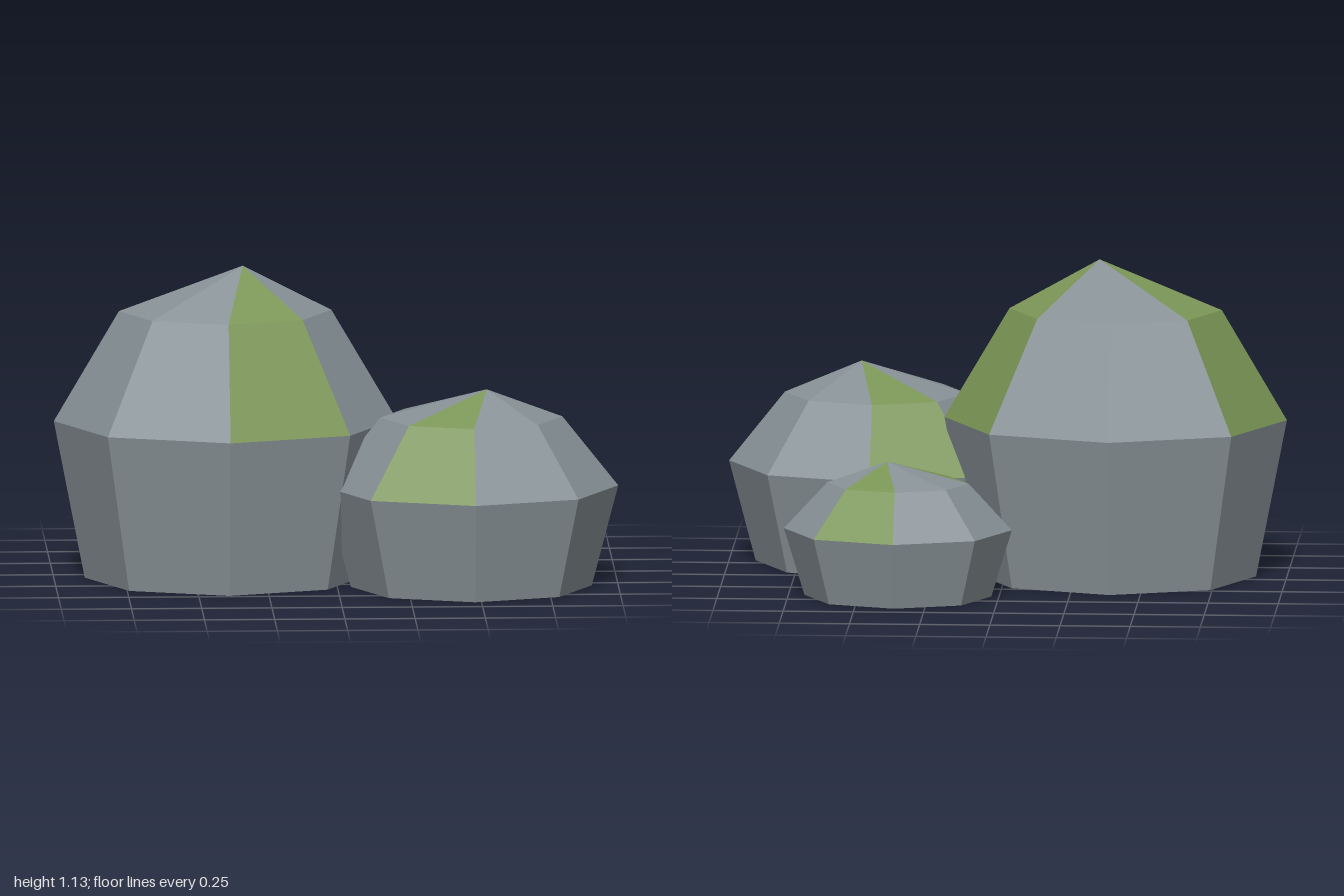
import * as THREE from 'three';

const SIDES = 8;

export function createModel() {
  const stone = new THREE.MeshStandardMaterial({ color: 0x879196 });
  stone.name = 'stone';
  const moss = new THREE.MeshStandardMaterial({ color: 0x7b9556 });
  moss.name = 'moss';

  // Faceted boulder: foot, widest ring, shoulder ring and an off-centre peak.
  // Every third sector above the widest ring is mossy.
  function boulder(name, { x, z, rx, rz, waist, shoulder, peak, mossStart }) {
    const ring = (scale, y) => Array.from({ length: SIDES + 1 }, (_, k) => {
      const a = (k % SIDES) / SIDES * Math.PI * 2;
      return [Math.cos(a) * rx * scale, y, Math.sin(a) * rz * scale];
    });
    const foot = ring(0.82, 0);
    const belly = ring(1, waist);
    const top = ring(0.62, shoulder);
    const apex = [peak[0] - x, peak[1], peak[2] - z];
    const stoneFaces = [];
    const mossFaces = [];
    const quad = (out, lo, hi, k) =>
      out.push(...lo[k], ...hi[k], ...hi[k + 1], ...lo[k], ...hi[k + 1], ...lo[k + 1]);

    for (let k = 0; k < SIDES; k++) {
      const upper = k % 3 === mossStart ? mossFaces : stoneFaces;
      stoneFaces.push(0, 0, 0, ...foot[k], ...foot[k + 1]); // underside
      quad(stoneFaces, foot, belly, k); // lower wall
      quad(upper, belly, top, k); // sloping wall
      upper.push(...top[k], ...apex, ...top[k + 1]); // crown
    }

    const geo = new THREE.BufferGeometry();
    geo.setAttribute('position', new THREE.Float32BufferAttribute([...stoneFaces, ...mossFaces], 3));
    geo.addGroup(0, stoneFaces.length / 3, 0);
    geo.addGroup(stoneFaces.length / 3, mossFaces.length / 3, 1);
    geo.computeVertexNormals(); // unshared corners give flat facets
    const mesh = new THREE.Mesh(geo, [stone, moss]);
    mesh.name = name;
    mesh.position.set(x, 0, z);
    return mesh;
  }

  const group = new THREE.Group();
  group.name = 'mossyBoulders';
  group.add(
    boulder('largeBoulder', {
      x: -0.39, z: 0.066, rx: 0.61, rz: 0.51, waist: 0.565, shoulder: 0.96,
      peak: [-0.33, 1.13, 0.12], mossStart: 1,
    }),
    boulder('mediumBoulder', {
      x: 0.477, z: 0.304, rx: 0.523, rz: 0.431, waist: 0.36, shoulder: 0.61,
      peak: [0.53, 0.717, 0.35], mossStart: 2,
    }),
    boulder('smallBoulder', {
      x: 0.36, z: -0.405, rx: 0.406, rz: 0.333, waist: 0.24, shoulder: 0.407,
      peak: [0.4, 0.478, -0.37], mossStart: 0,
    }),
  );
  return group;
}
